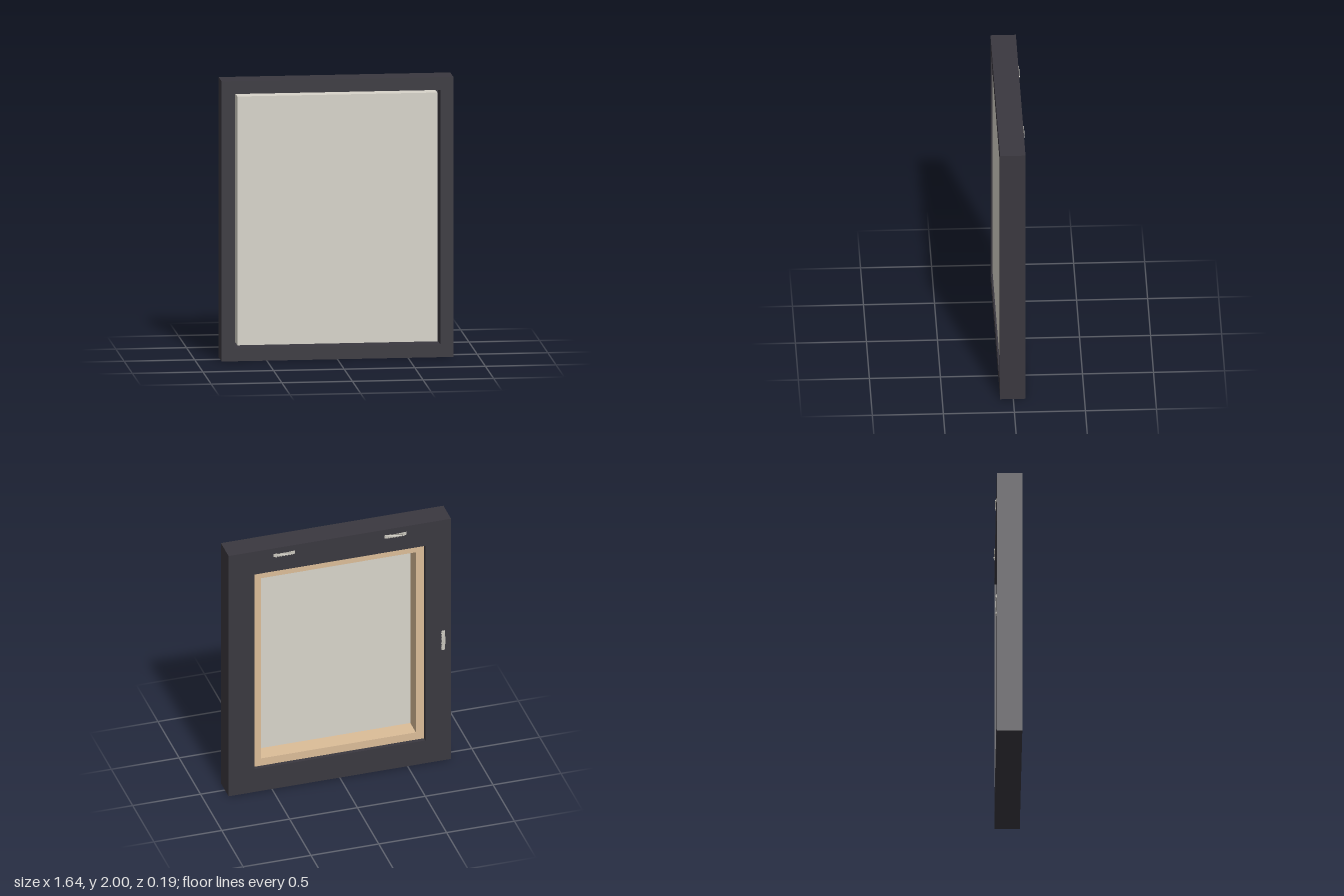
import * as THREE from 'three';

const W = 0.82, H = 2;             // half width and height of the frame
const BACK = -0.086, FRONT = 0.093; // depth of the frame
const SEAT = -0.056;               // front of the rear lip, where the canvas rests

const mat = (name, color) => {
  const m = new THREE.MeshStandardMaterial({ color });
  m.name = name;
  return m;
};

// Mitred rectangular ring: a closed profile of [inset from outer edge, z] swept round four corners
function ringGeometry(profile) {
  const corner = ([d, z], k) => [
    [-W + d, d, z], [W - d, d, z], [W - d, H - d, z], [-W + d, H - d, z],
  ][k % 4];
  const pos = [];
  profile.forEach((p, i) => {
    const q = profile[(i + 1) % profile.length];
    for (let k = 0; k < 4; k++) {
      const a = corner(p, k), b = corner(p, k + 1), c = corner(q, k + 1), e = corner(q, k);
      pos.push(...a, ...b, ...c, ...a, ...c, ...e);
    }
  });
  const g = new THREE.BufferGeometry();
  g.setAttribute('position', new THREE.Float32BufferAttribute(pos, 3));
  g.computeVertexNormals();
  return g;
}

// Bowed strip with a toothed lower edge, held by a nail at each end; its back faces -z
function createHanger(metal, length = 0.16, height = 0.03) {
  const group = new THREE.Group();
  const teeth = 10, half = length / 2, step = length * 0.7 / teeth;
  const shape = new THREE.Shape();
  shape.moveTo(-half, -height * 0.3);
  for (let i = 0; i < teeth; i++) {
    const x = -length * 0.35 + i * step;
    shape.lineTo(x, -height / 2);
    shape.lineTo(x + step / 2, -height * 0.2);
  }
  shape.lineTo(length * 0.35, -height / 2);
  shape.lineTo(half, -height * 0.3);
  for (let i = 0; i <= 10; i++) shape.lineTo(half - i * length / 10, height / 2);
  const g = new THREE.ExtrudeGeometry(shape, { depth: 0.002, bevelEnabled: false });
  const p = g.attributes.position;
  for (let i = 0; i < p.count; i++) {
    const t = p.getX(i) / half;
    p.setZ(i, p.getZ(i) - 0.002 - 0.006 * (1 - t * t)); // bow away from the frame
  }
  g.computeVertexNormals();
  const strip = new THREE.Mesh(g, metal);
  strip.name = 'sawtoothStrip';
  group.add(strip);

  for (const s of [-1, 1]) {
    const nail = new THREE.Mesh(new THREE.CylinderGeometry(0.007, 0.007, 0.008, 12), metal);
    nail.rotation.x = Math.PI / 2;
    nail.position.set(s * half * 0.82, 0.003, -0.004);
    nail.name = 'hangerNail';
    group.add(nail);
  }
  return group;
}

export function createModel() {
  const model = new THREE.Group();
  const frameMat = mat('charcoal frame', 0x3a383f);
  const canvasMat = mat('off-white canvas', 0xd8d4ca);
  const woodMat = mat('pale wood', 0xdbbd98);
  const metalMat = mat('hanger metal', 0xc9c6bd);

  const add = (name, geometry, material) => {
    const mesh = new THREE.Mesh(geometry, material);
    mesh.name = name;
    model.add(mesh);
    return mesh;
  };

  // Floating frame with an L-shaped section: outer wall and rear lip
  add('floaterFrame', ringGeometry([
    [0, BACK], [0, FRONT], [0.092, FRONT], [0.092, SEAT], [0.19, SEAT], [0.19, BACK],
  ]), frameMat);

  // Wooden stretcher bars behind the canvas
  add('stretcherBars', ringGeometry([
    [0.116, SEAT], [0.116, 0.074], [0.25, 0.074], [0.25, SEAT],
  ]), woodMat);

  // Canvas face and the folded sides that wrap the stretcher
  const edge = 0.112, thick = 0.008, face = 0.082;
  add('canvasSides', ringGeometry([
    [edge, SEAT], [edge, face - thick], [edge + 0.004, face - thick], [edge + 0.004, SEAT],
  ]), canvasMat);
  add('canvasFace', new THREE.BoxGeometry(2 * (W - edge), H - 2 * edge, thick), canvasMat)
    .position.set(0, H / 2, face - thick / 2);

  // Two hangers on the top rail and one on a side rail for turning the picture
  for (const [name, x, y, turn] of [
    ['topHangerLeft', 0.41, 1.94, 0],
    ['topHangerRight', -0.41, 1.94, 0],
    ['sideHanger', -0.76, 1, Math.PI / 2],
  ]) {
    const hanger = createHanger(metalMat);
    hanger.name = name;
    hanger.position.set(x, y, BACK);
    hanger.rotation.z = turn;
    model.add(hanger);
  }
  return model;
}
